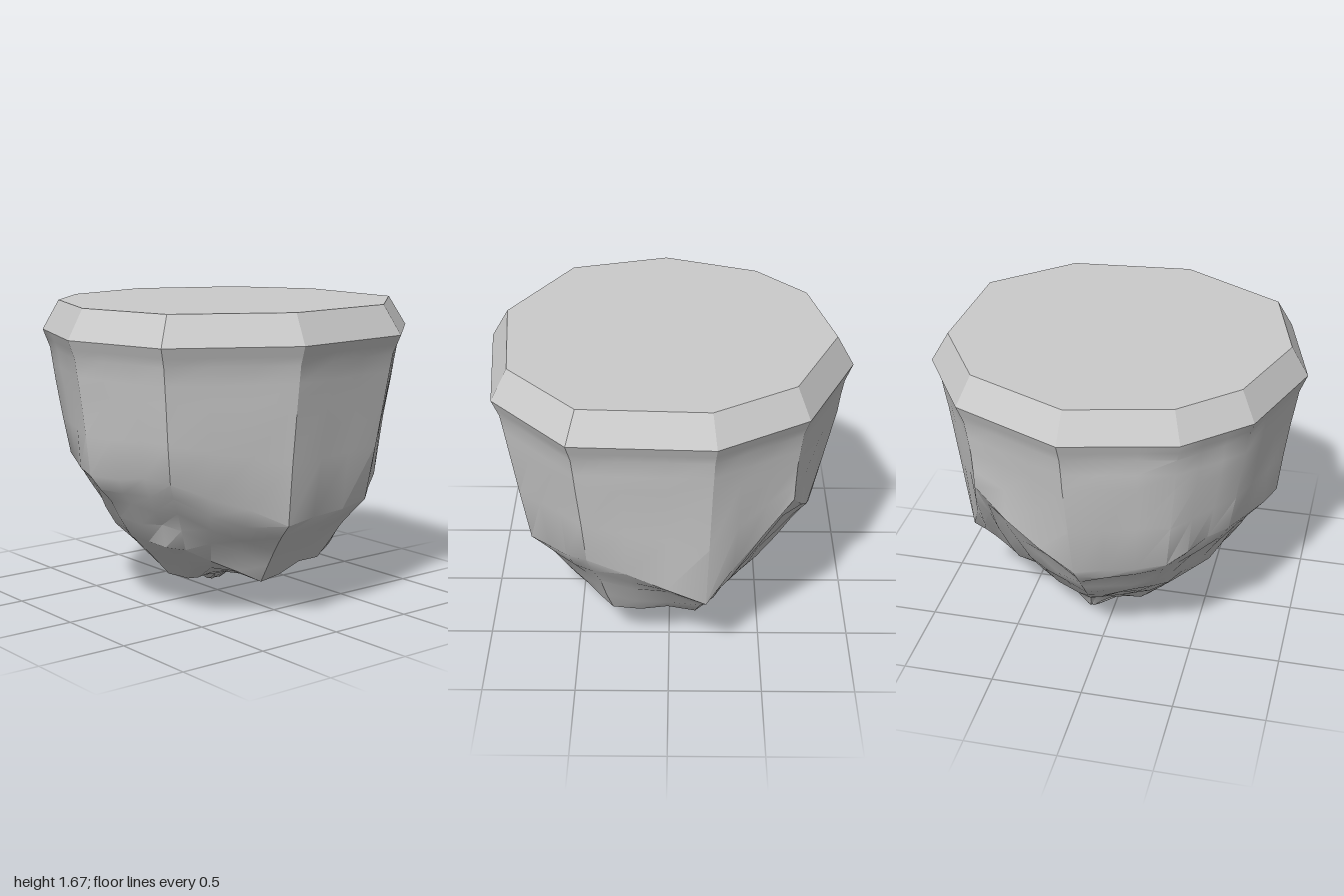
import * as THREE from 'three';
import { toCreasedNormals } from 'three/addons/utils/BufferGeometryUtils.js';

const LIP_Y = 1.51, TOP_Y = 1.67;
const TIP = new THREE.Vector3(0.13, 0, -0.22);

// One entry per ridge: rim x, z, shoulder scale and height, foot scale and height, belly height
const ridges = [
  [0.11, -0.98, 0.80, 0.62, 0.61, 0.36, 0.21],
  [0.71, -0.71, 0.92, 1.00, 0.61, 0.43, 0.22],
  [1.00, -0.24, 0.83, 0.45, 0.60, 0.24, 0.17],
  [0.97, 0.50, 0.85, 0.74, 0.61, 0.25, 0.20],
  [0.52, 0.91, 0.83, 0.60, 0.57, 0.26, 0.19],
  [-0.22, 0.98, 0.84, 0.56, 0.54, 0.19, 0.17],
  [-0.84, 0.62, 0.87, 0.80, 0.61, 0.40, 0.13],
  [-1.00, 0.03, 0.87, 0.79, 0.62, 0.43, 0.13],
  [-0.80, -0.54, 0.86, 0.82, 0.62, 0.45, 0.17],
  [-0.48, -0.84, 0.82, 0.68, 0.60, 0.40, 0.22],
];

function seeded(seed) {
  return () => {
    seed = (seed * 16807) % 2147483647;
    return seed / 2147483647 * 2 - 1;
  };
}

// Skin over closed rings of points, listed from the top down
function skin(rows, crease) {
  const pos = [];
  const tri = (a, b, c) => {
    if (a.equals(b) || b.equals(c) || a.equals(c)) return;
    for (const p of [a, b, c]) pos.push(p.x, p.y, p.z);
  };
  for (let r = 0; r < rows.length - 1; r++) {
    const up = rows[r], low = rows[r + 1], n = up.length;
    for (let i = 0; i < n; i++) {
      const j = (i + 1) % n;
      tri(up[i], up[j], low[j]);
      tri(up[i], low[j], low[i]);
    }
  }
  const geometry = new THREE.BufferGeometry();
  geometry.setAttribute('position', new THREE.Float32BufferAttribute(pos, 3));
  return toCreasedNormals(geometry, crease);
}

const rimRing = (scale, y) => ridges.map(([x, z]) => new THREE.Vector3(x * scale, y, z * scale));

// Points down one ridge, from the rim to the blunt hanging tip
function ridgeProfile([x, z, shoulder, shoulderY, foot, footY, bellyY]) {
  const at = (s, y) => new THREE.Vector3(x * s, y, z * s);
  const footPoint = at(foot, footY);
  const inward = (t, y) => footPoint.clone().lerp(TIP, t).setY(y);
  return [
    at(1, LIP_Y), at(0.96, 1.41), at(0.93, 1.22), at(shoulder, shoulderY),
    at((shoulder + foot) / 2, (shoulderY + footY) / 2 + 0.02),
    footPoint, inward(0.45, bellyY), inward(0.74, 0.06 + bellyY * 0.28),
    inward(0.93, 0.015), TIP.clone(),
  ];
}

// Split each step of a list of points into equal parts
function subdivide(points, parts, closed) {
  const out = [];
  const steps = closed ? points.length : points.length - 1;
  for (let i = 0; i < steps; i++) {
    for (let k = 0; k < parts; k++) {
      out.push(points[i].clone().lerp(points[(i + 1) % points.length], k / parts));
    }
  }
  if (!closed) out.push(points[points.length - 1].clone());
  return out;
}

function rockGeometry() {
  const columns = ridges.map(r => subdivide(ridgeProfile(r), 2, false));
  const rows = columns[0].map((_, r) => subdivide(columns.map(c => c[r]), 3, true));
  const noise = seeded(4711);
  const last = rows.length - 1;
  // Light roughness, strongest around the broken lower edge
  rows.forEach((row, r) => {
    if (r < 3 || r === last) return;
    const rough = r < 6 ? 0.004 : r < 13 ? 0.018 : 0.008;
    row.forEach((p, i) => {
      const amount = i % 3 === 0 ? rough * 0.4 : rough;
      const push = 1 + noise() * amount * 1.3;
      p.x *= push;
      p.z *= push;
      p.y += noise() * amount;
    });
  });
  return skin(rows, 0.55);
}

export function createModel() {
  const group = new THREE.Group();
  group.name = 'floatingRock';
  const material = new THREE.MeshStandardMaterial({ color: 0xcccccc });

  // Flat top slab with bevelled rim
  const capRows = [rimRing(0, TOP_Y), rimRing(0.907, TOP_Y), rimRing(1, LIP_Y)];
  const cap = new THREE.Mesh(skin(capRows, 0.2), material);
  cap.name = 'topSlab';

  // Ridged rock hanging below the slab
  const rock = new THREE.Mesh(rockGeometry(), material);
  rock.name = 'rockBody';

  group.add(cap, rock);
  return group;
}
